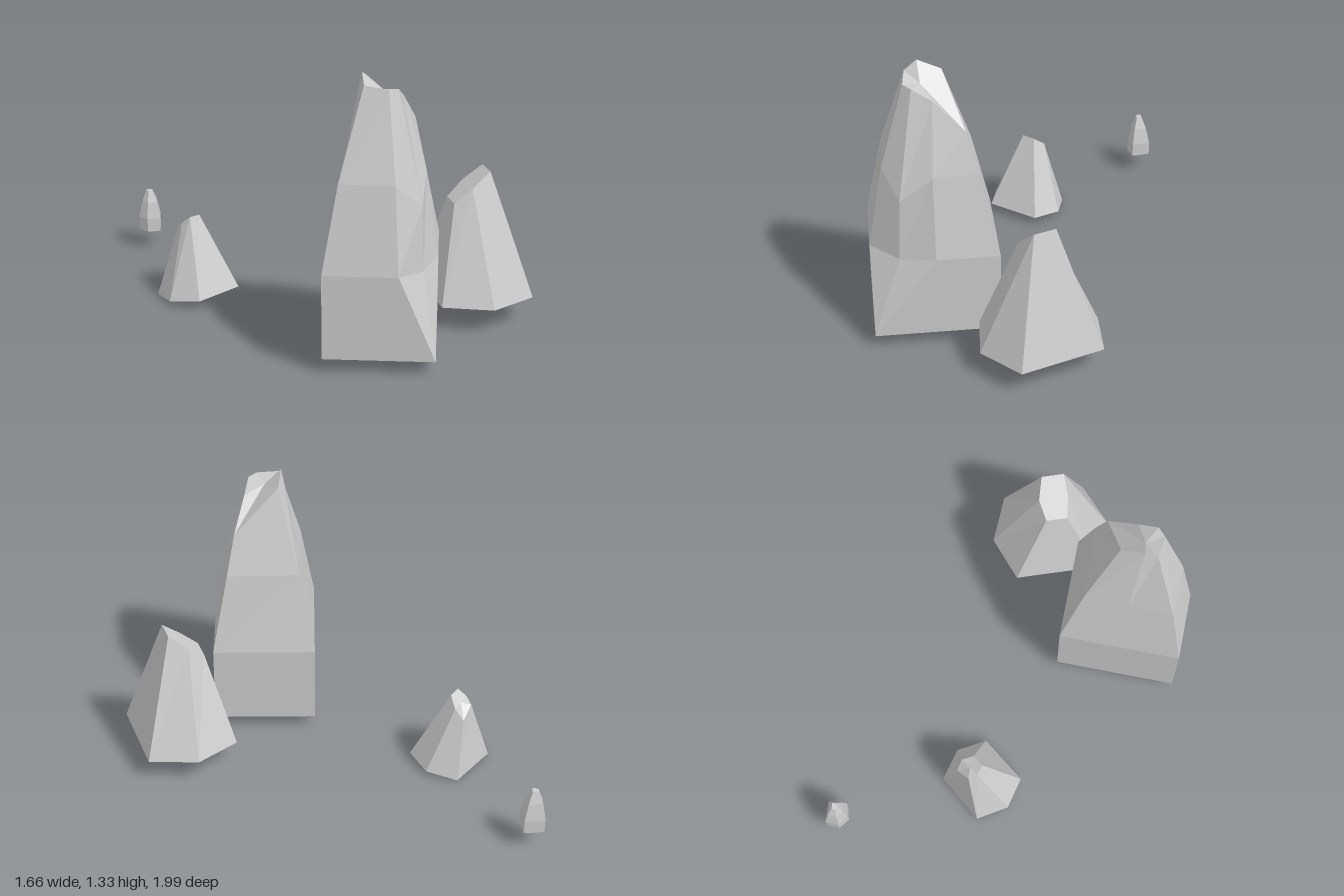
import * as THREE from 'three';

const material = new THREE.MeshStandardMaterial({ color: 0xcccccc, flatShading: true });

// Faceted rock: rings of [x, y, z], counter-clockwise from above, lofted bottom to top.
// The base closes on its average; the crown closes on an optional given point.
function makeRock(name, rings, crown) {
  const pos = [];
  const tri = (a, b, c) => pos.push(...a, ...b, ...c);
  const middle = (ring) => [0, 1, 2].map((k) => ring.reduce((s, p) => s + p[k], 0) / ring.length);
  const n = rings[0].length;
  const base = rings[0];
  const top = rings[rings.length - 1];
  const baseMid = middle(base);
  const topMid = crown || middle(top);
  for (let i = 0; i < n; i++) {
    const j = (i + 1) % n;
    for (let r = 0; r + 1 < rings.length; r++) {
      const lo = rings[r], hi = rings[r + 1];
      tri(lo[i], lo[j], hi[j]);
      tri(lo[i], hi[j], hi[i]);
    }
    tri(baseMid, base[j], base[i]);
    tri(topMid, top[i], top[j]);
  }
  const geometry = new THREE.BufferGeometry();
  geometry.setAttribute('position', new THREE.Float32BufferAttribute(pos, 3));
  geometry.computeVertexNormals();
  const mesh = new THREE.Mesh(geometry, material);
  mesh.name = name;
  return mesh;
}

// Flat ring at one height from [x, z] pairs
const level = (y, points) => points.map(([x, z]) => [x, y, z]);

export function createModel() {
  const group = new THREE.Group();
  group.name = 'rocks';

  // Tall spire with a split front corner and a notched crown
  // corners: left, front, gully, right middle, right, back, back-left middle
  group.add(makeRock('spireRock', [
    level(0.07, [[-0.29, 0.82], [0.19, 0.99], [0.19, 0.99], [0.29, 0.71], [0.39, 0.43], [-0.09, 0.26], [-0.19, 0.54]]),
    [[-0.29, 0.47, 0.82], [0.03, 0.47, 0.935], [0.175, 0.45, 0.845], [0.29, 0.47, 0.71], [0.39, 0.47, 0.43],
      [-0.09, 0.47, 0.26], [-0.19, 0.47, 0.54]],
    [[-0.2, 0.87, 0.77], [0.035, 0.87, 0.86], [0.17, 0.75, 0.83], [0.235, 0.87, 0.69], [0.29, 0.87, 0.48],
      [-0.05, 0.87, 0.37], [-0.125, 0.87, 0.57]],
    [[-0.06, 1.285, 0.69], [0.04, 1.27, 0.74], [0.09, 1.265, 0.72], [0.14, 1.21, 0.64], [0.235, 1.07, 0.52],
      [0, 1.285, 0.53], [-0.05, 1.33, 0.63]],
  ], [0.03, 1.25, 0.65]));

  // Six-sided rock with a slanted top
  const slant = (x) => 0.58 + (x - 0.48) * 0.83;
  group.add(makeRock('slantedRock', [
    level(0.125, [[0.375, 0.12], [0.375, 0.54], [0.6, 0.64], [0.83, 0.54], [0.83, 0.12], [0.6, 0.03]]),
    [[0.48, 0.28], [0.48, 0.385], [0.565, 0.4], [0.655, 0.39], [0.655, 0.28], [0.565, 0.255]]
      .map(([x, z]) => [x, slant(x), z]),
  ]));

  // Tilted medium rock
  group.add(makeRock('tiltedRock', [
    [[-0.83, 0.01, -0.26], [-0.8, 0.03, -0.1], [-0.67, 0.05, -0.015], [-0.445, 0.045, -0.16],
      [-0.47, 0.03, -0.31], [-0.6, 0.005, -0.4]],
    [[-0.71, 0.36, -0.28], [-0.705, 0.38, -0.235], [-0.67, 0.417, -0.205], [-0.617, 0.413, -0.24],
      [-0.615, 0.37, -0.3], [-0.65, 0.31, -0.328]],
  ]));

  // Small pointed rock
  const foot = [[-0.8, -0.94], [-0.765, -0.89], [-0.7, -0.885], [-0.68, -0.975], [-0.775, -1]];
  const shrink = (s) => foot.map(([x, z]) => [-0.742 + (x + 0.742) * s, -0.938 + (z + 0.938) * s]);
  group.add(makeRock('smallRock', [
    level(0.1, foot),
    level(0.17, foot),
    level(0.255, shrink(0.68)),
    level(0.315, shrink(0.28)),
  ]));

  return group;
}
